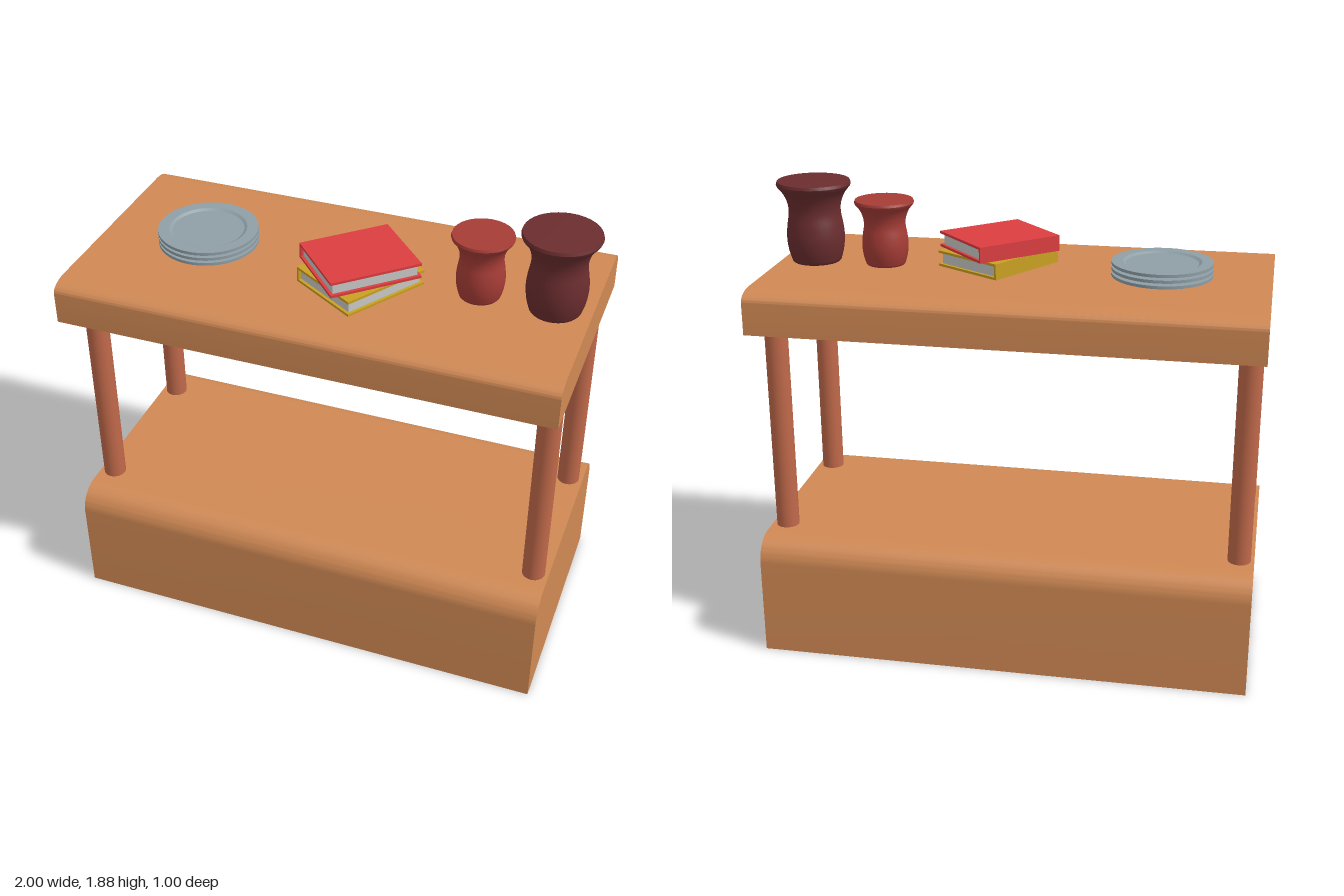
import * as THREE from 'three';
import { toCreasedNormals } from 'three/addons/utils/BufferGeometryUtils.js';

const mat = (name, color) => {
  const m = new THREE.MeshStandardMaterial({ color });
  m.name = name;
  return m;
};

export function createModel() {
  const wood = mat('wood', 0xd08954);
  const postWood = mat('reddish wood', 0xc0694a);
  const pewter = mat('plate grey', 0x8f9fa6);
  const red = mat('red cover', 0xdc3d40);
  const yellow = mat('yellow cover', 0xcaa023);
  const paper = mat('paper', 0xc8c8c6);
  const clay = mat('red clay', 0xa63c36);
  const darkClay = mat('dark clay', 0x6b2d2f);

  const model = new THREE.Group();
  model.name = 'serving table';
  const add = (parent, name, geometry, material, x = 0, y = 0, z = 0) => {
    const mesh = new THREE.Mesh(geometry, material);
    mesh.name = name;
    mesh.position.set(x, y, z);
    parent.add(mesh);
    return mesh;
  };
  const lathe = (points, segments, crease) => toCreasedNormals(
    new THREE.LatheGeometry(points.map(([r, y]) => new THREE.Vector2(r, y)), segments), crease);

  // Slab with rounded long top edges, extruded along x
  const slab = (height, rx, ry) => {
    const s = new THREE.Shape();
    s.moveTo(-0.5, 0);
    s.lineTo(0.5, 0);
    s.lineTo(0.5, height - ry);
    s.absellipse(0.5 - rx, height - ry, rx, ry, 0, Math.PI / 2, false);
    s.lineTo(-0.5 + rx, height);
    s.absellipse(-0.5 + rx, height - ry, rx, ry, Math.PI / 2, Math.PI, false);
    s.closePath();
    const g = new THREE.ExtrudeGeometry(s, { depth: 1.99, bevelEnabled: false, curveSegments: 10 });
    g.translate(0, 0, -0.995).rotateY(Math.PI / 2);
    return toCreasedNormals(g, 0.6);
  };
  add(model, 'base', slab(0.5, 0.1, 0.1), wood, -0.005);
  add(model, 'tableTop', slab(0.17, 0.09, 0.04), wood, -0.005, 1.383);

  // Four posts
  const postGeometry = new THREE.CylinderGeometry(0.046, 0.046, 0.9, 32);
  for (const x of [-0.94, 0.928])
    for (const z of [-0.312, 0.312]) add(model, 'post', postGeometry, postWood, x, 0.94, z);

  // Stack of plates with a foot, flat rim and shallow well
  const plateGeometry = lathe([
    [0, 0], [0.105, 0], [0.105, 0.01], [0.2, 0.01], [0.2, 0.022],
    [0.155, 0.022], [0.143, 0.015], [0, 0.015],
  ], 48, 0.4);
  const plates = new THREE.Group();
  plates.name = 'plates';
  plates.position.set(-0.568, 1.553, 0);
  for (let i = 0; i < 3; i++) add(plates, 'plate', plateGeometry, pewter, 0, i * 0.0225, 0);
  model.add(plates);

  // Books: two covers, a spine and inset pages
  const book = (name, cover, x, y, z, height, turn) => {
    const g = new THREE.Group();
    g.name = name;
    g.position.set(x, y, z);
    g.rotation.y = turn;
    const w = 0.37, d = 0.317, t = 0.01;
    const board = new THREE.BoxGeometry(w, t, d);
    add(g, 'lowerCover', board, cover, 0, t / 2, 0);
    add(g, 'upperCover', board, cover, 0, height - t / 2, 0);
    add(g, 'spine', new THREE.BoxGeometry(w, height - 2 * t, t), cover, 0, height / 2, -d / 2 + t / 2);
    add(g, 'pages', new THREE.BoxGeometry(w - 0.024, height - 2 * t, d - t - 0.012), paper,
      0, height / 2, t / 2 - 0.006);
    model.add(g);
  };
  book('yellowBook', yellow, 0.103, 1.553, 0.08, 0.064, 1.01);
  book('redBook', red, 0.099, 1.618, 0.077, 0.064, 0.743);

  // Closed vases with a waisted neck and flared lip
  const body = new THREE.SplineCurve([
    [0.1, 0.006], [0.112, 0.05], [0.117, 0.1], [0.113, 0.15], [0.105, 0.2],
    [0.108, 0.24], [0.124, 0.28], [0.146, 0.308],
  ].map(([r, y]) => new THREE.Vector2(r, y))).getPoints(28).map(p => [p.x, p.y]);
  const vaseGeometry = lathe(
    [[0, 0], [0.095, 0], ...body, [0.15, 0.318], [0.146, 0.33], [0, 0.332]], 36, 0.6);
  add(model, 'smallVase', vaseGeometry, clay, 0.556, 1.553, 0.006).scale.setScalar(0.8);
  add(model, 'largeVase', vaseGeometry, darkClay, 0.848, 1.553, 0.006);

  return model;
}
